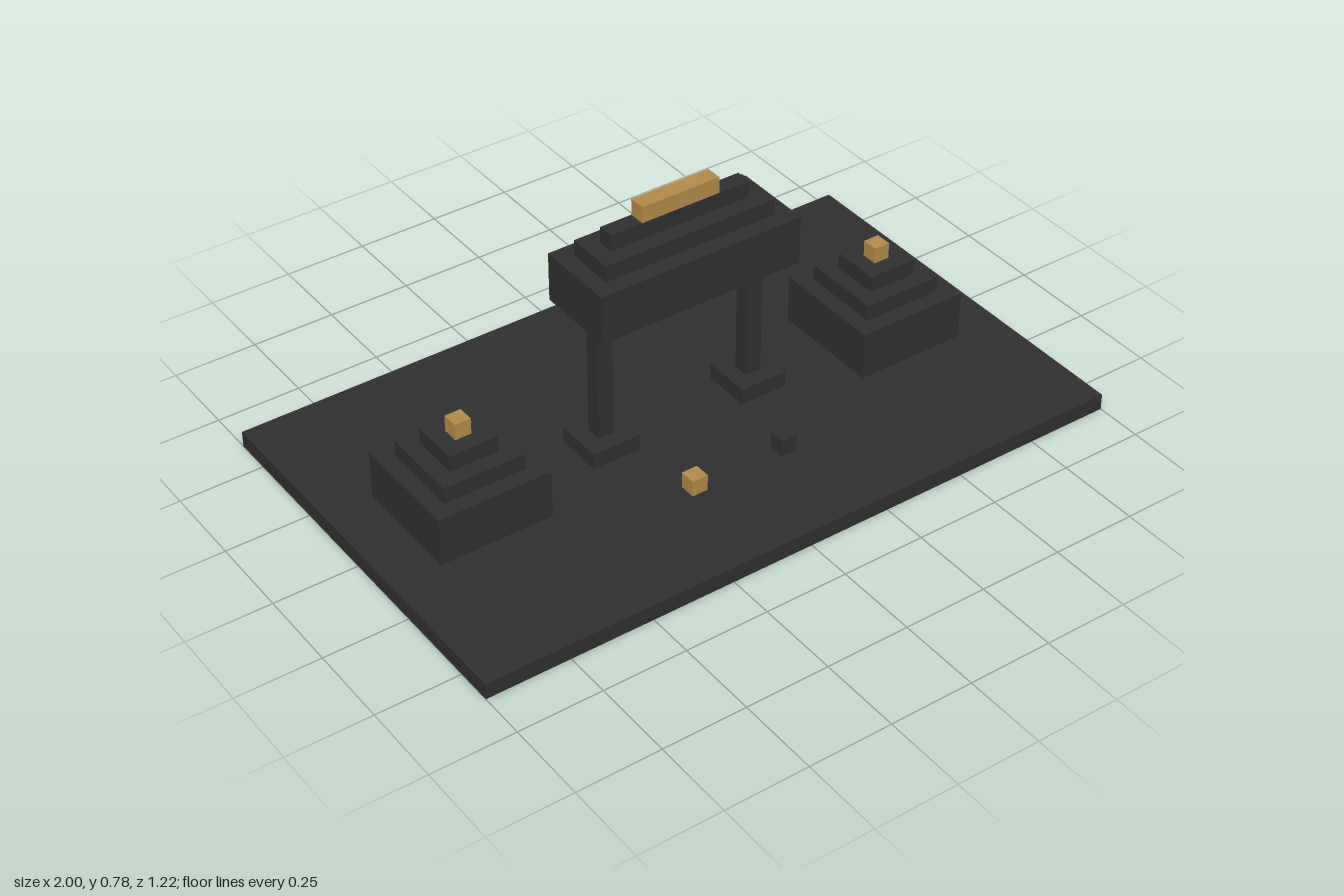
import * as THREE from 'three';

// The whole model sits on a grid: the base plate is 41 units long.
const U = 2 / 41;

export function createModel() {
  const model = new THREE.Group();
  model.name = 'gateCourtyard';

  const charcoal = new THREE.MeshStandardMaterial({ color: 0x303030 });
  charcoal.name = 'charcoal';
  const gold = new THREE.MeshStandardMaterial({ color: 0xb38a4a });
  gold.name = 'gold';

  // Box given by size, centre x/z and bottom y, all in grid units
  function block(parent, name, material, [w, h, d], x, y, z = 0) {
    const mesh = new THREE.Mesh(new THREE.BoxGeometry(w * U, h * U, d * U), material);
    mesh.position.set(x * U, (y + h / 2) * U, z * U);
    mesh.name = name;
    parent.add(mesh);
  }

  function part(name) {
    const group = new THREE.Group();
    group.name = name;
    model.add(group);
    return group;
  }

  // Ground plate
  block(model, 'basePlate', charcoal, [41, 1, 25], 0, 0);

  // Gate: two footed pillars under a stepped roof with a gold ridge
  const gate = part('gate');
  for (const [side, s] of [['left', 1], ['right', -1]]) {
    block(gate, side + 'Foot', charcoal, [3, 1, 3], s * 5, 1);
    block(gate, side + 'Pillar', charcoal, [1, 8, 1], s * 5, 2);
  }
  block(gate, 'roofBeam', charcoal, [13, 3, 5], 0, 10);
  block(gate, 'roofStep', charcoal, [11, 1, 3], 0, 13);
  block(gate, 'roofTop', charcoal, [9, 1, 1], 0, 14);
  block(gate, 'roofRidge', gold, [5, 1, 1], 0, 15);

  // Stepped shrines and small path markers on either side
  for (const [side, s] of [['left', 1], ['right', -1]]) {
    const shrine = part(side + 'Shrine');
    block(shrine, 'body', charcoal, [7, 3, 7], s * 14, 1);
    block(shrine, 'lowerStep', charcoal, [5, 1, 5], s * 14, 4);
    block(shrine, 'upperStep', charcoal, [3, 1, 3], s * 14, 5);
    block(shrine, 'finial', gold, [1, 1, 1], s * 14, 6);
    block(model, side + 'Marker', s > 0 ? charcoal : gold, [1, 1, 1], s * 3, 1, 6);
  }

  return model;
}
